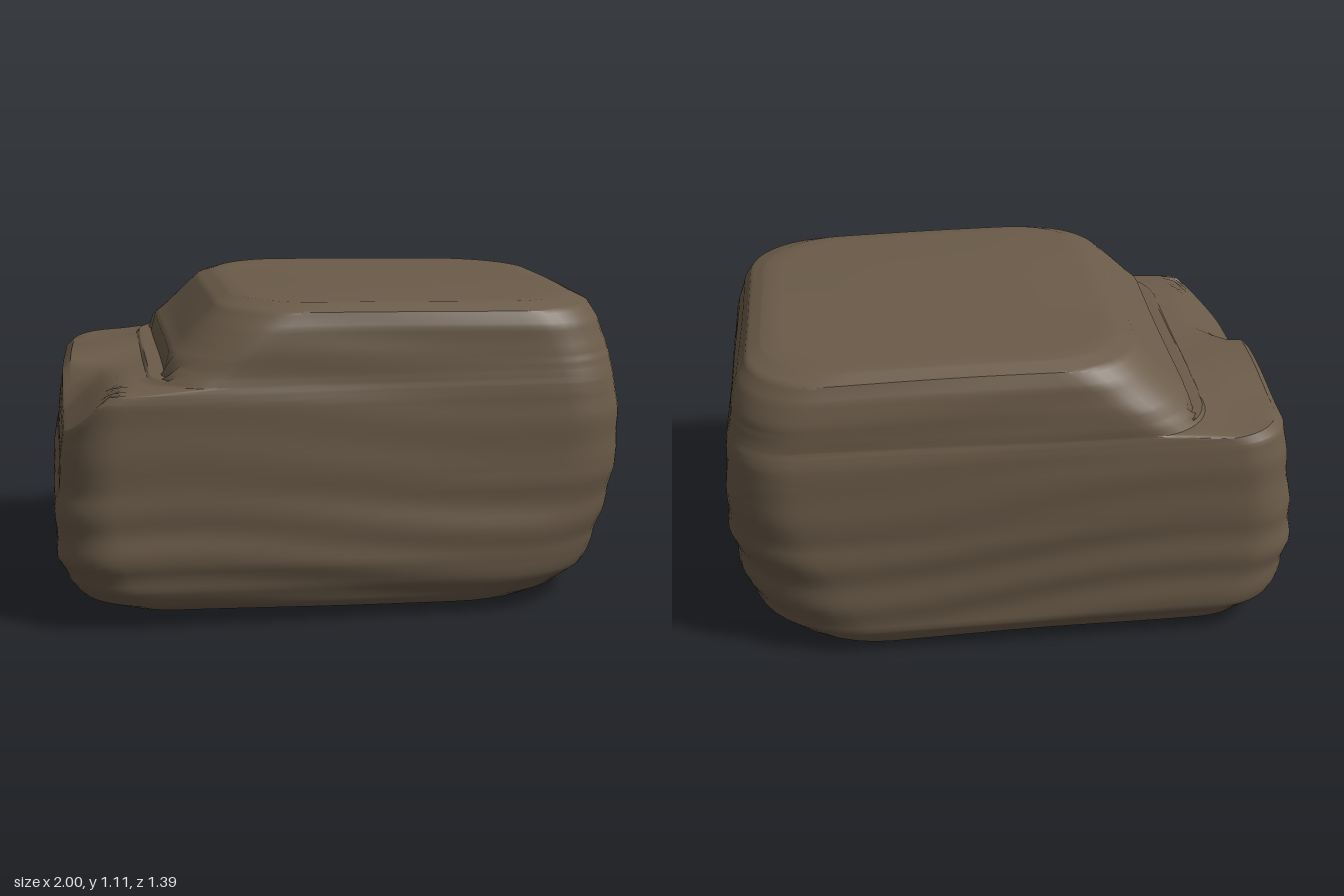
import * as THREE from 'three';
import { mergeVertices, toCreasedNormals } from 'three/addons/utils/BufferGeometryUtils.js';

// Outline of the boulder per height: y, xMin, xMax, zMin, zMax, left corner radius, right corner radius
const LEVELS = [
  [0.00, -0.07, -0.05, -0.01, 0.01, 0.01, 0.01],
  [0.00, -0.46, 0.40, -0.32, 0.32, 0.18, 0.24],
  [0.00, -0.85, 0.80, -0.58, 0.61, 0.26, 0.42],
  [0.03, -0.91, 0.86, -0.63, 0.64, 0.25, 0.42],
  [0.10, -0.96, 0.93, -0.67, 0.67, 0.23, 0.41],
  [0.20, -0.99, 0.965, -0.675, 0.69, 0.22, 0.39],
  [0.31, -1.00, 0.98, -0.68, 0.69, 0.21, 0.36],
  [0.43, -0.995, 0.995, -0.685, 0.685, 0.20, 0.30],
  [0.56, -0.975, 0.995, -0.69, 0.685, 0.19, 0.26],
  [0.70, -0.96, 0.985, -0.69, 0.68, 0.19, 0.23],
  [0.79, -0.95, 0.975, -0.685, 0.675, 0.20, 0.23],
  [0.82, -0.92, 0.97, -0.68, 0.67, 0.21, 0.23],
  [0.84, -0.67, 0.965, -0.675, 0.665, 0.22, 0.23], // ledge
  [0.87, -0.645, 0.96, -0.675, 0.66, 0.24, 0.24],
  [0.94, -0.56, 0.95, -0.67, 0.655, 0.25, 0.25],
  [1.02, -0.48, 0.925, -0.655, 0.645, 0.26, 0.27],
  [1.07, -0.43, 0.895, -0.635, 0.625, 0.27, 0.28],
  [1.095, -0.37, 0.84, -0.58, 0.57, 0.27, 0.29],
  [1.10, -0.12, 0.52, -0.30, 0.30, 0.14, 0.15],
  [1.10, 0.19, 0.21, -0.01, 0.01, 0.01, 0.01],
];
const STEPS = 5, ARC = 10, EDGE = 16;

// Rounded rectangle with a fixed number of points, running from +x towards +z
function ring([, x0, x1, z0, z1, rl, rr]) {
  const corners = [[x1, z1, rr, 0], [x0, z1, rl, 1], [x0, z0, rl, 2], [x1, z0, rr, 3]];
  const arcs = corners.map(([x, z, r, q]) => {
    const cx = x - Math.sign(x - (x0 + x1) / 2) * r;
    const cz = z - Math.sign(z - (z0 + z1) / 2) * r;
    return Array.from({ length: ARC + 1 }, (_, i) => {
      const a = (q + i / ARC) * Math.PI / 2;
      return new THREE.Vector2(cx + r * Math.cos(a), cz + r * Math.sin(a));
    });
  });
  const pts = [];
  arcs.forEach((arc, q) => {
    pts.push(...arc);
    const next = arcs[(q + 1) % 4][0];
    for (let i = 1; i < EDGE; i++) pts.push(arc[ARC].clone().lerp(next, i / EDGE));
  });
  return pts;
}

// Weathering: shallow dents plus thin horizontal strata, strongest low down
function bump(x, y, z) {
  const dents = Math.sin(4.1 * x + 2.3 * y + 1) * Math.sin(3.7 * z - 3.1 * y + 0.6);
  const strata = Math.sin(34 * y + 2.2 * Math.sin(2.6 * x) + 1.8 * Math.sin(3.1 * z));
  return 0.007 * dents + 0.006 * strata * (y < 0.5 ? 1 : 0.4);
}

function weather(p) {
  const { x, y, z } = p;
  const size = Math.hypot(x, z);
  const push = bump(x, y, z) * Math.min(1, size);
  p.x += (x / (size + 0.01)) * push;
  p.z += (z / (size + 0.01)) * push;
  // underside rises slightly towards the front left
  const low = Math.max(0, 1 - y / 0.4);
  p.y += low * (0.02 * Math.max(0, 0.8 - x) + 0.05 * Math.max(0, z));
  // top dips a little to the right
  if (y > 0.9) p.y += 0.008 * Math.sin(2.2 * x + 2) + 0.004 * Math.sin(5 * z + x);
  // uneven ledge with a chipped front corner
  if (y > 0.55 && x < -0.6) {
    p.y += 0.008 * Math.sin(9 * z + 4 * x) * Math.min(1, (-0.6 - x) * 6);
    const chip = THREE.MathUtils.smoothstep(z, 0, 0.18);
    p.y = Math.min(p.y, 0.85 - chip * Math.max(0, -0.77 - x) * 0.95);
  }
  p.x = THREE.MathUtils.clamp(p.x, -1, 1);
  p.y = Math.max(0, p.y);
  return p;
}

function boulderGeometry() {
  const rows = [];
  LEVELS.forEach((level, i) => {
    const next = LEVELS[i + 1];
    const count = next ? STEPS : 1;
    for (let s = 0; s < count; s++) {
      rows.push(next ? level.map((v, k) => THREE.MathUtils.lerp(v, next[k], s / STEPS)) : level);
    }
  });
  const positions = [], index = [];
  let n = 0;
  rows.forEach((row, i) => {
    const pts = ring(row);
    n = pts.length;
    for (const q of pts) positions.push(...weather(new THREE.Vector3(q.x, row[0], q.y)).toArray());
    if (i === 0) return;
    for (let j = 0; j < n; j++) {
      const k = (j + 1) % n, a = (i - 1) * n, b = i * n;
      index.push(a + k, a + j, b + j, a + k, b + j, b + k);
    }
  });
  // close the two small end rings
  const last = (rows.length - 1) * n;
  for (let j = 1; j < n - 1; j++) {
    index.push(0, j, j + 1, last, last + j + 1, last + j);
  }
  const geometry = new THREE.BufferGeometry();
  geometry.setAttribute('position', new THREE.Float32BufferAttribute(positions, 3));
  geometry.setIndex(index);
  return toCreasedNormals(mergeVertices(geometry, 1e-5), 0.7);
}

export function createModel() {
  const stone = new THREE.MeshStandardMaterial({ color: 0x6b5b49 });
  stone.name = 'brown stone';
  const boulder = new THREE.Mesh(boulderGeometry(), stone);
  boulder.name = 'boulder';
  const group = new THREE.Group();
  group.name = 'rock';
  group.add(boulder);
  return group;
}
